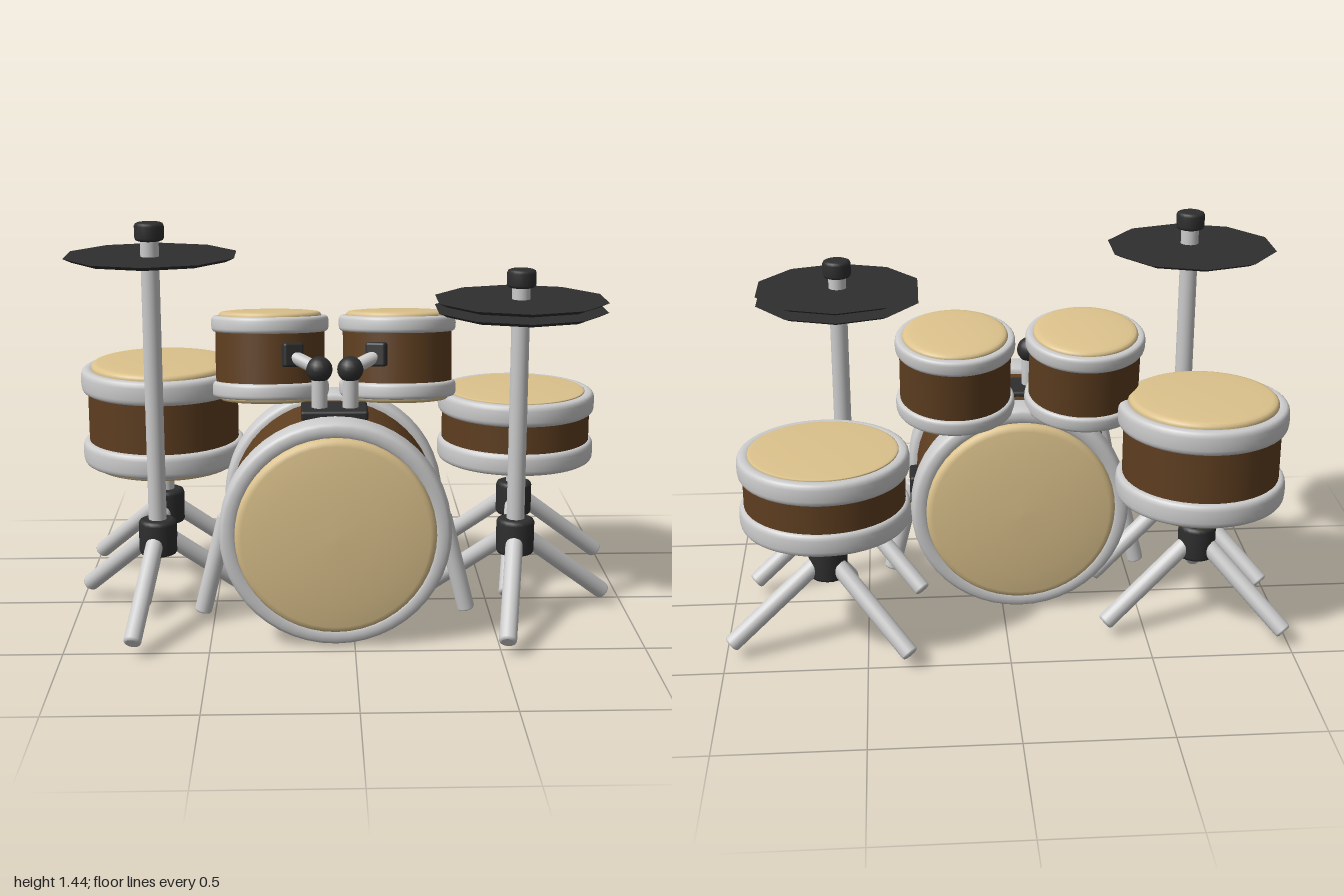
import * as THREE from 'three';
import { RoundedBoxGeometry } from 'three/addons/geometries/RoundedBoxGeometry.js';

const std = (color, flatShading = false) => new THREE.MeshStandardMaterial({ color, flatShading });
const metal = std(0xcccccc);
const wood = std(0x5e3e20);
const skin = std(0xdcc28c);
const black = std(0x2e2e2e);
const cymbalBlack = std(0x2e2e2e, true);

function add(parent, name, geometry, material, x = 0, y = 0, z = 0) {
  const mesh = new THREE.Mesh(geometry, material);
  mesh.name = name;
  mesh.position.set(x, y, z);
  parent.add(mesh);
  return mesh;
}

const lathe = (points, segments = 48) =>
  new THREE.LatheGeometry(points.map(([r, y]) => new THREE.Vector2(r, y)), segments);

// Ring with a rounded cross-section, profile run counter-clockwise
function hoopGeometry(inner, outer, height) {
  const pts = [];
  const mid = (inner + outer) / 2, half = (outer - inner) / 2;
  for (let i = 0; i <= 20; i++) {
    const a = Math.PI + (i / 20) * Math.PI * 2;
    const c = Math.cos(a), s = Math.sin(a);
    pts.push([mid + Math.sign(c) * Math.abs(c) ** 0.7 * half,
      Math.sign(s) * Math.abs(s) ** 0.6 * height / 2]);
  }
  return lathe(pts);
}

// Cylinder with softened rims
function softCylinder(radius, height, bevel = 0.015) {
  const h = height / 2, r = radius, b = bevel;
  return lathe([[0, -h], [r - b, -h], [r - b, -h], [r - b * 0.3, -h + b * 0.3], [r, -h + b],
    [r, h - b], [r - b * 0.3, h - b * 0.3], [r - b, h], [r - b, h], [0, h]], 20);
}

// Round bar between two points
function rod(parent, name, from, to, radius, material = metal) {
  const a = new THREE.Vector3(...from), b = new THREE.Vector3(...to);
  const dir = b.clone().sub(a);
  const mesh = add(parent, name, softCylinder(radius, dir.length(), 0.009), material);
  mesh.position.copy(a).add(b).multiplyScalar(0.5);
  mesh.quaternion.setFromUnitVectors(new THREE.Vector3(0, 1, 0), dir.normalize());
  return mesh;
}

// Shell, two hoops and two heads around a vertical axis
function drum(name, { hoopR, shellR, headR, spacing, hoopH, headY, dome = 0.006 }) {
  const g = new THREE.Group();
  g.name = name;
  add(g, 'shell', new THREE.CylinderGeometry(shellR, shellR, spacing * 2, 48, 1, true), wood);
  const edge = spacing + hoopH / 2;
  const rim = headY - dome;
  const drop = rim - edge;
  const headGeo = lathe([[headR, spacing], [headR, edge], [headR - 0.003, edge + drop * 0.5],
    [headR - 0.01, edge + drop * 0.85], [headR - 0.024, rim],
    [headR * 0.7, rim + dome * 0.5], [headR * 0.35, rim + dome * 0.9], [0, headY]]);
  const hoopGeo = hoopGeometry(headR - 0.012, hoopR, hoopH);
  for (const side of [1, -1]) {
    add(g, side > 0 ? 'topHoop' : 'bottomHoop', hoopGeo, metal, 0, side * spacing, 0);
    const head = add(g, side > 0 ? 'topHead' : 'bottomHead', headGeo, skin);
    if (side < 0) head.rotation.x = Math.PI;
  }
  return g;
}

// Tripod with hub and a central pole up to poleTop
function stand(name, x, z, poleTop, poleR) {
  const g = new THREE.Group();
  g.name = name;
  g.position.set(x, 0, z);
  add(g, 'hub', softCylinder(0.068, 0.13), black, 0, 0.32, 0);
  rod(g, 'pole', [0, 0.28, 0], [0, poleTop, 0], poleR);
  for (const deg of [100, 220, 340]) {
    const a = deg * Math.PI / 180, c = Math.cos(a), s = Math.sin(a);
    rod(g, 'leg', [c * 0.03, 0.32, s * 0.03], [c * 0.37, 0.058, s * 0.37], 0.031);
  }
  return g;
}

export function createModel() {
  const kit = new THREE.Group();
  kit.name = 'drumKit';

  // Bass drum lying along z
  const bass = drum('bassDrum', { hoopR: 0.4, shellR: 0.37, headR: 0.345, spacing: 0.22,
    hoopH: 0.12, headY: 0.325, dome: 0.022 });
  bass.rotation.x = Math.PI / 2;
  bass.position.set(-0.065, 0.405, 0.175);
  kit.add(bass);

  // Bass drum spurs
  for (const s of [1, -1]) {
    const x = (d) => -0.065 + s * d;
    add(kit, 'spurBracket', new RoundedBoxGeometry(0.06, 0.12, 0.13, 2, 0.012), black, x(0.37), 0.385, 0.195);
    rod(kit, 'spurLeg', [x(0.385), 0.4, 0.195], [x(0.475), 0.04, 0.195], 0.031);
  }

  // Floor tom and snare on tripods
  const floorTom = drum('floorTom', { hoopR: 0.302, shellR: 0.278, headR: 0.265, spacing: 0.135,
    hoopH: 0.088, headY: 0.204 });
  floorTom.position.set(-0.697, 0.681, -0.205);
  kit.add(floorTom, stand('floorTomStand', -0.697, -0.205, 0.5, 0.031));

  const snare = drum('snareDrum', { hoopR: 0.297, shellR: 0.28, headR: 0.26, spacing: 0.092,
    hoopH: 0.082, headY: 0.143 });
  snare.position.set(0.634, 0.612, -0.285);
  kit.add(snare, stand('snareStand', 0.634, -0.27, 0.5, 0.031));

  // Mount plate on the bass drum
  add(kit, 'mountPlate', new RoundedBoxGeometry(0.235, 0.035, 0.16, 2, 0.01), black, -0.065, 0.775, 0.175);

  // Two tilted rack toms with arms, mirrored about the bass drum centre
  for (const s of [1, -1]) {
    const x = (d) => -0.063 + s * d;
    const tom = drum(s > 0 ? 'leftRackTom' : 'rightRackTom', { hoopR: 0.212, shellR: 0.197,
      headR: 0.186, spacing: 0.117, hoopH: 0.058, headY: 0.167 });
    tom.position.set(x(0.23), 0.93, -0.043);
    tom.rotation.x = -0.14;
    kit.add(tom);
    const bracket = add(kit, 'tomBracket', new RoundedBoxGeometry(0.075, 0.085, 0.04, 2, 0.01), black,
      x(0.148), 0.97, 0.138);
    bracket.rotation.set(-0.14, -s * 0.38, 0);
    rod(kit, 'tomArm', [x(0.15), 0.965, 0.135], [x(0.054), 0.927, 0.185], 0.024);
    add(kit, 'tomJoint', new THREE.SphereGeometry(0.046, 16, 12), black, x(0.054), 0.927, 0.185);
    rod(kit, 'tomPost', [x(0.054), 0.77, 0.185], [x(0.054), 0.92, 0.185], 0.028);
  }

  // Cymbal stands with faceted thin discs
  const disc = new THREE.CylinderGeometry(0.305, 0.275, 0.014, 10);
  const cymbalStand = (name, x, z, top, discs) => {
    const g = stand(name, x, z, top - 0.03, 0.032);
    add(g, 'cap', softCylinder(0.051, 0.063, 0.012), black, 0, top - 0.031, 0);
    for (const [y, dz] of discs) add(g, 'cymbal', disc, cymbalBlack, 0, y, dz);
    kit.add(g);
  };
  cymbalStand('crashStand', -0.695, 0.175, 1.44, [[1.317, -0.038]]);
  cymbalStand('hiHatStand', 0.58, 0.2, 1.278, [[1.168, 0], [1.134, -0.003]]);

  return kit;
}
